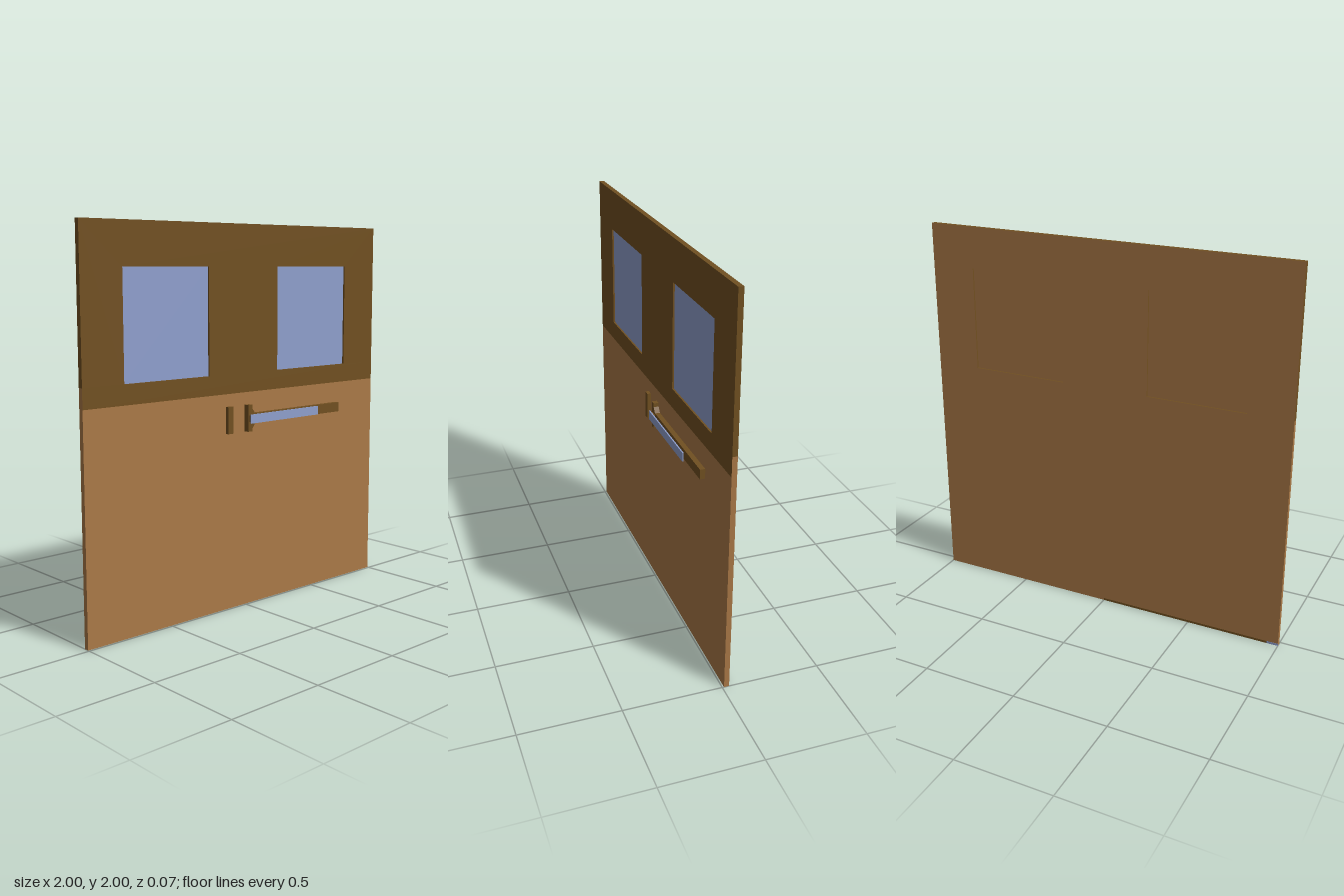
import * as THREE from 'three';

const BACK = -0.035, FRONT = -0.009, DEPTH = FRONT - BACK;
const SILL = 1.24, HEAD = 1.785;

export function createModel() {
  const model = new THREE.Group();
  const mat = (name, color) => {
    const m = new THREE.MeshStandardMaterial({ color });
    m.name = name;
    return m;
  };
  const tan = mat('tan paint', 0xaa7947);
  const brown = mat('dark brown paint', 0x715021);
  const blue = mat('pale blue', 0x8f9fcd);

  const add = (name, geometry, material) => {
    const mesh = new THREE.Mesh(geometry, material);
    mesh.name = name;
    model.add(mesh);
    return mesh;
  };
  // Box given by its limits on each axis
  const box = (name, [x0, x1], [y0, y1], [z0, z1], material) => {
    const mesh = add(name, new THREE.BoxGeometry(x1 - x0, y1 - y0, z1 - z0), material);
    mesh.position.set((x0 + x1) / 2, (y0 + y1) / 2, (z0 + z1) / 2);
    return mesh;
  };

  // Lower panel, and the band under the windows with a dark front
  // (material order: +x, -x, top, bottom, front, back)
  box('lowerPanel', [-1, 1], [0, 1.14], [BACK, FRONT], [tan, tan, tan, brown, tan, tan]);
  box('sillBand', [-1, 1], [1.14, SILL], [BACK, FRONT], [tan, tan, brown, tan, brown, tan]);

  // Upper panel, notched from below for the two windows
  const windows = [[-0.765, -0.24], [0.235, 0.76]];
  const outline = new THREE.Shape();
  outline.moveTo(-1, SILL);
  for (const [a, b] of windows) {
    outline.lineTo(a, SILL);
    outline.lineTo(a, HEAD);
    outline.lineTo(b, HEAD);
    outline.lineTo(b, SILL);
  }
  outline.lineTo(1, SILL);
  outline.lineTo(1, 2);
  outline.lineTo(-1, 2);
  outline.closePath();
  const upper = new THREE.ExtrudeGeometry(outline, { depth: DEPTH, bevelEnabled: false });
  // Split the caps so that the back is tan and the rest dark
  const half = upper.groups[0].count / 2;
  const sides = upper.groups[1];
  upper.clearGroups();
  upper.addGroup(0, half, 0);
  upper.addGroup(half, half, 1);
  upper.addGroup(sides.start, sides.count, 1);
  add('upperPanel', upper, [tan, brown]).position.z = BACK;

  // Window panes, recessed on both faces
  for (const w of windows) {
    box('windowPane', w, [SILL, HEAD], [-0.026, -0.018], [blue, blue, blue, blue, blue, tan]);
  }

  // Painted strip along the foot of the back
  box('footStrip', [-0.94, 0], [0, 0.012], [BACK - 0.001, BACK], brown);
  box('footCorner', [-1, -0.94], [0, 0.012], [BACK - 0.001, BACK], blue);

  // Latch plate and handle
  box('latchPlate', [-0.13, -0.096], [0.935, 1.075], [FRONT, 0.01], brown);
  const bracket = new THREE.Shape([
    [0, 0.935], [0.03, 0.935], [0.03, 0.95], [0.05, 0.978], [0.05, 1.028],
    [0.03, 1.055], [0.03, 1.075], [0, 1.075],
  ].map(([x, y]) => new THREE.Vector2(x, y)));
  add('handleBracket', new THREE.ExtrudeGeometry(bracket, { depth: 0.018 - FRONT, bevelEnabled: false }), brown)
    .position.z = FRONT;
  box('handleBar', [0.04, 0.695], [0.977, 1.028], [FRONT, 0.017], brown);
  box('handlePost', [0.01, 0.048], [0.985, 1.02], [0.018, 0.028], brown);
  box('handlePlate', [0.005, 0.507], [0.979, 1.026], [0.028, 0.035], blue);

  return model;
}
